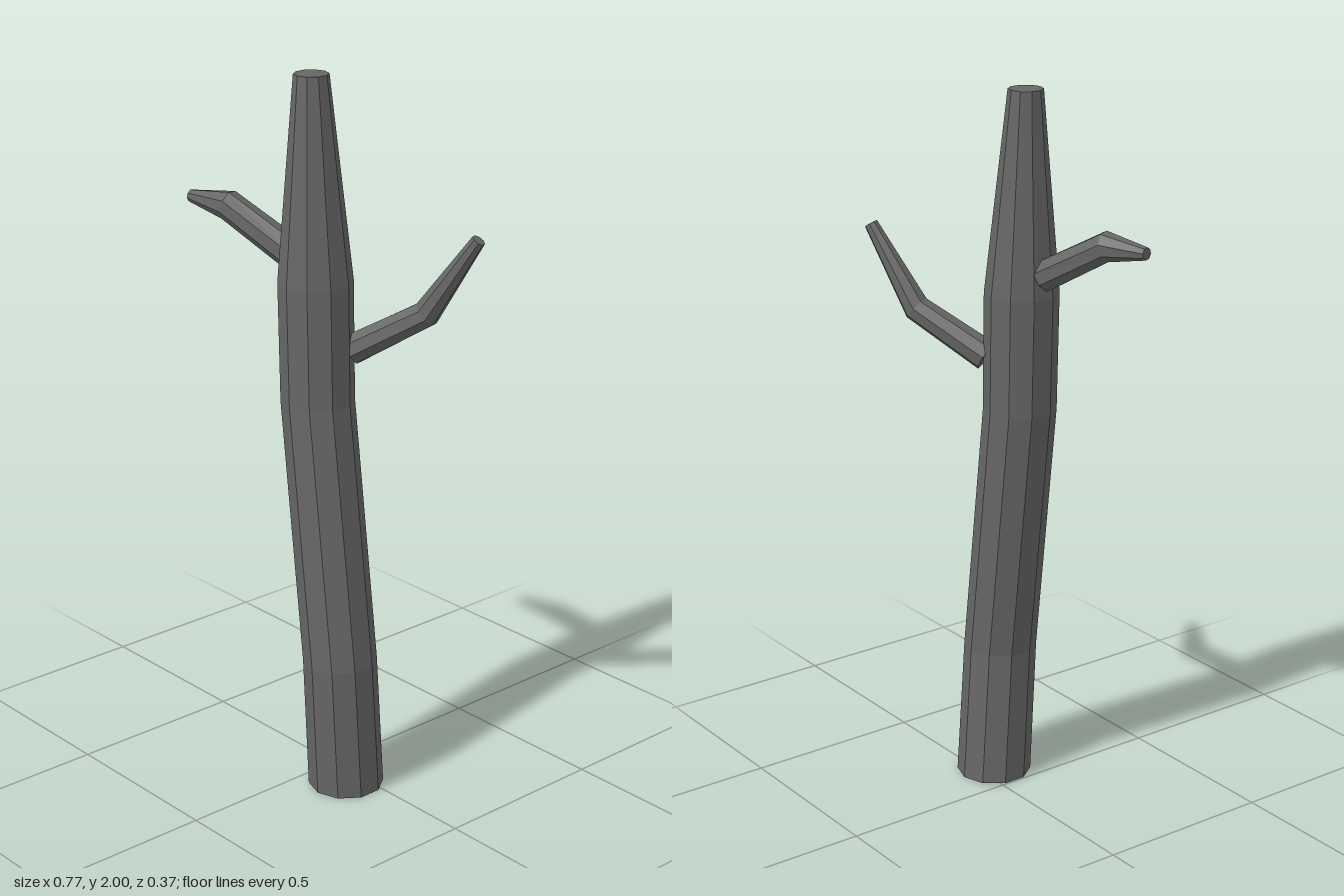
import * as THREE from 'three';

const bark = new THREE.MeshStandardMaterial({ color: 0x666666, flatShading: true });
bark.name = 'greyBark';

// Capped limb skinned over rings [x, y, z, radius]; rings lie flat or follow the bend
function limb(name, rings, sides, level) {
  const centres = rings.map(([x, y, z]) => new THREE.Vector3(x, y, z));
  const positions = [], index = [];
  const last = rings.length - 1;
  const up = new THREE.Vector3(0, 1, 0);
  centres.forEach((c, i) => {
    // Ring normal is the average of the neighbouring segment directions
    const n = new THREE.Vector3();
    if (i > 0) n.add(c.clone().sub(centres[i - 1]).normalize());
    if (i < last) n.add(centres[i + 1].clone().sub(c).normalize());
    if (level) n.copy(up);
    const turn = new THREE.Quaternion().setFromUnitVectors(up, n.normalize());
    for (let s = 0; s < sides; s++) {
      const a = (s / sides) * Math.PI * 2;
      const p = new THREE.Vector3(Math.sin(a), 0, Math.cos(a)).multiplyScalar(rings[i][3]);
      positions.push(...p.applyQuaternion(turn).add(c).toArray());
    }
  });
  // Side walls
  for (let i = 0; i < last; i++) {
    for (let s = 0; s < sides; s++) {
      const t = (s + 1) % sides;
      const a = i * sides + s, b = i * sides + t;
      index.push(a, b, b + sides, a, b + sides, a + sides);
    }
  }
  // End caps
  const top = last * sides;
  for (let s = 1; s < sides - 1; s++) {
    index.push(0, s + 1, s, top, top + s, top + s + 1);
  }
  const geometry = new THREE.BufferGeometry();
  geometry.setAttribute('position', new THREE.Float32BufferAttribute(positions, 3));
  geometry.setIndex(index);
  const flat = geometry.toNonIndexed();
  flat.computeVertexNormals();
  const mesh = new THREE.Mesh(flat, bark);
  mesh.name = name;
  return mesh;
}

export function createModel() {
  const tree = new THREE.Group();
  tree.name = 'deadTree';
  // Crooked trunk, cut flat at both ends
  tree.add(limb('trunk', [
    [0.105, 0, 0.045, 0.105],
    [0.105, 0.39, 0.068, 0.102],
    [0.01, 1.12, 0.064, 0.1],
    [0, 1.45, 0.062, 0.101],
    [-0.015, 2, 0.062, 0.047],
  ], 10, true));
  // Branch rising on the left, toward the back
  tree.add(limb('leftBranch', [
    [0.075, 1.265, 0, 0.043],
    [0.24, 1.38, -0.113, 0.038],
    [0.37, 1.597, -0.17, 0.019],
  ], 8, false));
  // Shorter bent branch on the right, toward the front
  tree.add(limb('rightBranch', [
    [-0.08, 1.51, 0.075, 0.044],
    [-0.257, 1.618, 0.145, 0.041],
    [-0.385, 1.622, 0.17, 0.017],
  ], 8, false));
  return tree;
}
